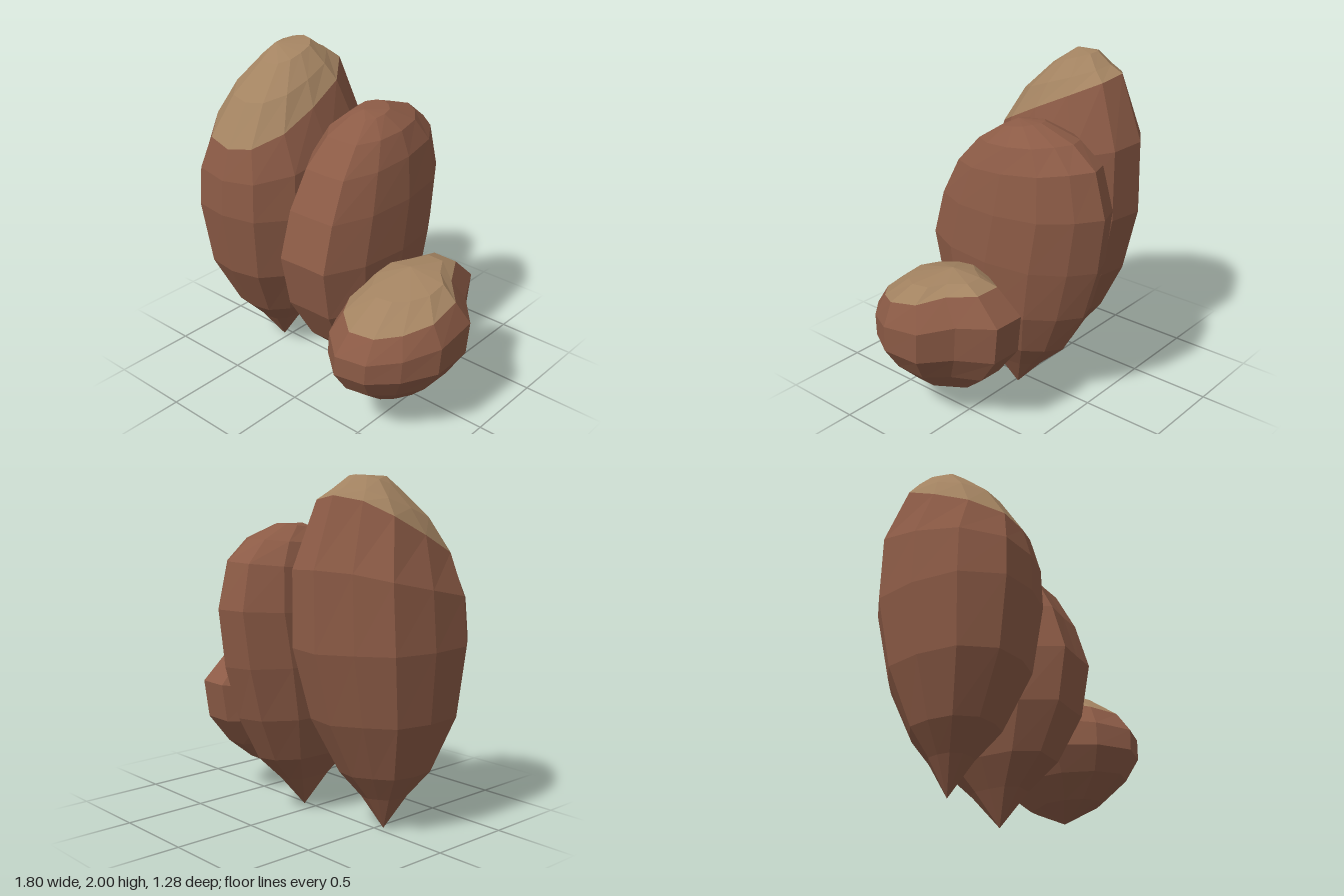
import * as THREE from 'three';

const SIDES = 12;

// One ring: an ellipse with a few bulging or dented sides, its plane dropping by tilt towards the front
function makeRing(x, [y, halfWidth, zBack, zFront, tilt = 0], dents, turn) {
  return Array.from({ length: SIDES }, (_, i) => {
    const a = ((i + turn) / SIDES) * Math.PI * 2;
    const k = dents[i] ?? 1;
    return [
      x + k * halfWidth * Math.cos(a),
      y - tilt * Math.sin(a),
      (zBack + zFront) / 2 + k * Math.sin(a) * (zFront - zBack) / 2,
    ];
  });
}

// Surface over a stack of rings; a ring of one repeated point closes an end
function skin(rings) {
  const pos = [];
  for (let r = 0; r < rings.length - 1; r++) {
    const lo = rings[r], hi = rings[r + 1];
    for (let i = 0; i < SIDES; i++) {
      const j = (i + 1) % SIDES;
      if (lo[i] !== lo[j]) pos.push(...lo[i], ...hi[i], ...lo[j]);
      if (hi[i] !== hi[j]) pos.push(...hi[i], ...hi[j], ...lo[j]);
    }
  }
  const g = new THREE.BufferGeometry();
  g.setAttribute('position', new THREE.Float32BufferAttribute(pos, 3));
  g.computeVertexNormals();
  return g;
}

// A nut: pointed tip, rings leaning sideways with height, apex, and a pale cap above ring capFrom
function makeNut({ name, x, lean, turn, tip, apex, dents, rows, capFrom }, brown, tan) {
  const rings = [
    Array(SIDES).fill([x, ...tip]),
    ...rows.map((row) => makeRing(x + lean * row[0], row, dents, turn)),
    Array(SIDES).fill([x, ...apex]),
  ];
  const nut = new THREE.Group();
  nut.name = name;
  const addPart = (part, partRings, material) => {
    const mesh = new THREE.Mesh(skin(partRings), material);
    mesh.name = part;
    nut.add(mesh);
  };
  if (capFrom) {
    addPart('shell', rings.slice(0, capFrom + 1), brown);
    addPart('cap', rings.slice(capFrom), tan);
  } else {
    addPart('shell', rings, brown);
  }
  return nut;
}

export function createModel() {
  const brown = new THREE.MeshStandardMaterial({ color: 0x8c5b46, flatShading: true });
  brown.name = 'shellBrown';
  const tan = new THREE.MeshStandardMaterial({ color: 0xa38361, flatShading: true });
  tan.name = 'capTan';

  const model = new THREE.Group();
  model.name = 'nutCluster';

  // Rows are [y, half width, back z, front z, tilt]; tips and apexes are [y, z]
  const tallNut = makeNut({
    name: 'tallNut', x: -0.535, lean: 0.025, turn: 0, tip: [0, 0.04], apex: [1.985, 0.03], capFrom: 6,
    dents: { 1: 1.04, 2: 1.04, 4: 1.09, 5: 1.09, 8: 0.89, 10: 1.08, 11: 1.09 },
    rows: [
      [0.2, 0.115, -0.08, 0.18],
      [0.35, 0.225, -0.2, 0.32],
      [0.67, 0.345, -0.36, 0.48],
      [1.07, 0.4, -0.46, 0.54],
      [1.4, 0.385, -0.46, 0.53, 0.11],
      [1.68, 0.29, -0.32, 0.48, 0.21],
      [1.82, 0.215, -0.24, 0.33, 0.11],
      [1.945, 0.115, -0.15, 0.14, 0.05],
    ],
  }, brown, tan);

  const middleNut = makeNut({
    name: 'middleNut', x: 0.08, lean: 0.005, turn: 0, tip: [0, -0.02], apex: [1.71, -0.03],
    dents: { 1: 1.03, 2: 1.06, 3: 0.92, 4: 1.08, 5: 1.12, 7: 1.1, 8: 1.04, 10: 0.94 },
    rows: [
      [0.2, 0.105, -0.2, 0.15],
      [0.36, 0.2, -0.37, 0.33],
      [0.62, 0.275, -0.51, 0.48],
      [0.93, 0.295, -0.6, 0.54],
      [1.23, 0.285, -0.64, 0.46, 0.03],
      [1.47, 0.25, -0.57, 0.34, 0.05],
      [1.61, 0.195, -0.42, 0.19, 0.03],
      [1.695, 0.1, -0.2, 0.04, 0.02],
    ],
  }, brown, tan);

  const smallNut = makeNut({
    name: 'smallNut', x: 0.52, lean: 0.04, turn: 0.5, tip: [0.1, 0.16], apex: [0.92, 0.08], capFrom: 5,
    dents: { 1: 0.92, 2: 0.95, 3: 1.03, 4: 1.02, 5: 1.02, 7: 0.85, 8: 1.03, 9: 1.02, 10: 0.8 },
    rows: [
      [0.2, 0.15, -0.05, 0.4],
      [0.325, 0.27, -0.2, 0.56],
      [0.475, 0.36, -0.33, 0.64, 0.025],
      [0.65, 0.36, -0.36, 0.64, 0.08],
      [0.785, 0.29, -0.21, 0.55, 0.09],
      [0.875, 0.19, -0.11, 0.36, 0.035],
    ],
  }, brown, tan);

  model.add(tallNut, middleNut, smallNut);
  return model;
}
